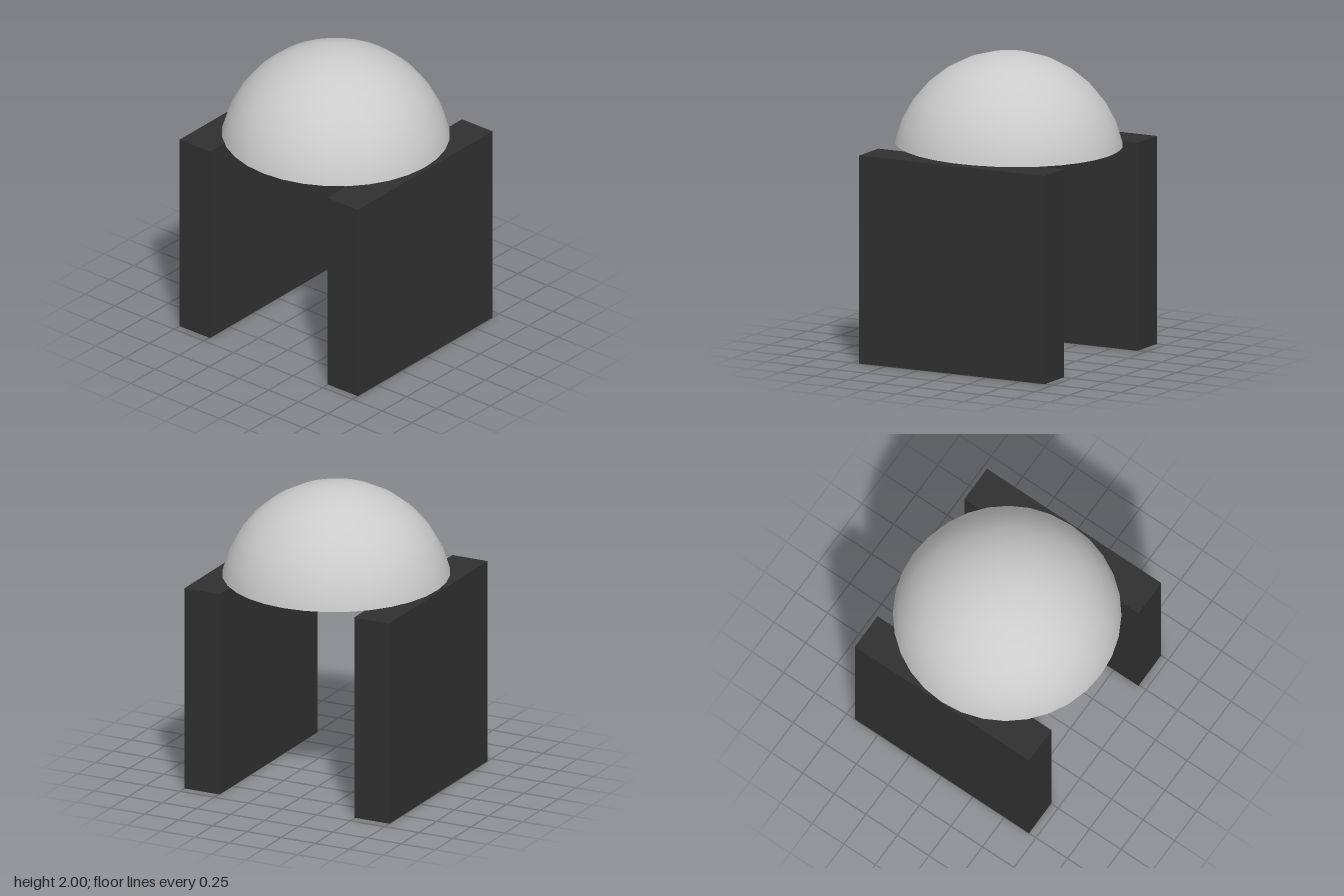
import * as THREE from 'three';

export function createModel() {
  const model = new THREE.Group();
  const dark = new THREE.MeshStandardMaterial({ color: 0x303030 });
  const grey = new THREE.MeshStandardMaterial({ color: 0xcccccc, side: THREE.DoubleSide });

  // Two upright slabs, front and back
  const height = 1.38, depth = 0.257;
  const slab = new THREE.BoxGeometry(1.38, height, depth);
  for (const [name, side] of [['frontWall', 1], ['backWall', -1]]) {
    const wall = new THREE.Mesh(slab, dark);
    wall.name = name;
    wall.position.set(-0.005, height / 2, side * (0.75 - depth / 2));
    model.add(wall);
  }

  // Open, hollow dome resting on the slabs, tilted slightly toward +x
  const radius = 0.759, rimAngle = 1.366;
  const dome = new THREE.Mesh(
    new THREE.SphereGeometry(radius, 32, 7, 0, Math.PI * 2, 0, rimAngle), grey);
  dome.name = 'dome';
  dome.position.set(-0.004, 2 - radius, -0.004);
  dome.rotation.z = -0.018;
  model.add(dome);

  return model;
}
